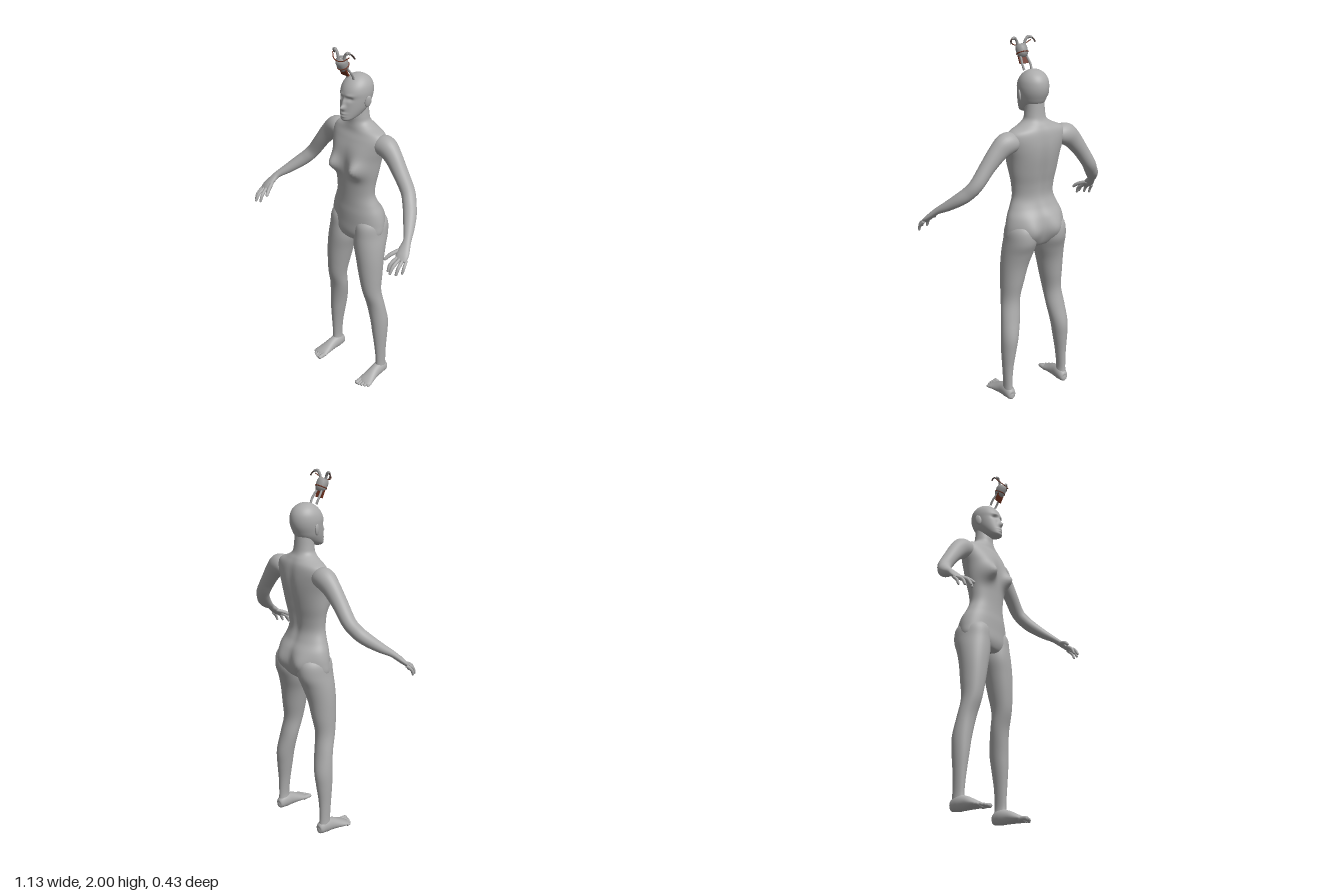
import * as THREE from 'three';

const flat = (color) => new THREE.MeshStandardMaterial({ color });

// Catmull-Rom sampling of a whole table row
function sampleRows(rows, steps) {
  const out = [];
  const at = (i) => rows[Math.min(Math.max(i, 0), rows.length - 1)];
  for (let i = 0; i < rows.length - 1; i++) {
    for (let k = 0; k < steps; k++) {
      const t = k / steps;
      out.push(at(i).map((p1, c) => {
        const p0 = at(i - 1)[c], p2 = at(i + 1)[c], p3 = at(i + 2)[c];
        return 0.5 * (2 * p1 + (p2 - p0) * t + (2 * p0 - 5 * p1 + 4 * p2 - p3) * t * t
          + (3 * p1 - p0 - 3 * p2 + p3) * t * t * t);
      }));
    }
  }
  out.push(rows[rows.length - 1]);
  return out;
}

// Closed skin over elliptical rings [x, y, z, a, b].
// upright: rings lie flat (rows run upwards); otherwise rings stand across the path.
function loft(rows, { steps = 5, sides = 20, upright = false, shape = null } = {}) {
  const rings = sampleRows(rows, steps);
  const centres = rings.map((r) => new THREE.Vector3(r[0], r[1], r[2]));
  const up = new THREE.Vector3(0, 1, 0);
  const pos = [], idx = [];
  rings.forEach((r, i) => {
    let U = new THREE.Vector3(1, 0, 0), V = new THREE.Vector3(0, 0, 1);
    if (!upright) {
      const t = centres[Math.min(i + 1, rings.length - 1)].clone()
        .sub(centres[Math.max(i - 1, 0)]).normalize();
      U = t.clone().cross(up).normalize();
      V = U.clone().cross(t);
    }
    for (let j = 0; j < sides; j++) {
      const q = (j / sides) * Math.PI * 2;
      const p = centres[i].clone().addScaledVector(U, Math.cos(q) * r[3])
        .addScaledVector(V, Math.sin(q) * r[4]);
      if (shape) shape(p, Math.sin(q));
      pos.push(p.x, p.y, p.z);
    }
  });
  for (let i = 0; i < rings.length - 1; i++) {
    for (let j = 0; j < sides; j++) {
      const k = (j + 1) % sides;
      const a = i * sides + j, b = i * sides + k, c = a + sides, d = b + sides;
      idx.push(a, c, b, b, c, d);
    }
  }
  const first = pos.length / 3, last = first + 1, top = (rings.length - 1) * sides;
  pos.push(...centres[0].toArray(), ...centres[centres.length - 1].toArray());
  for (let j = 0; j < sides; j++) {
    const k = (j + 1) % sides;
    idx.push(first, j, k, last, top + k, top + j);
  }
  const g = new THREE.BufferGeometry();
  g.setAttribute('position', new THREE.Float32BufferAttribute(pos, 3));
  g.setIndex(idx);
  g.computeVertexNormals();
  return g;
}

// Upright row from [y, halfWidth, zFront, zBack]
const slab = ([y, w, f, b]) => [0, y, (f + b) / 2, w, (f - b) / 2];
// Upright row from [y, xOuter, xInner, zFront, zBack]
const legRow = (s) => ([y, o, n, f, b]) => [s * (o + n) / 2, y, (f + b) / 2, (o - n) / 2, (f - b) / 2];
const bump = (p, x, y, sx, sy) =>
  Math.exp(-(((Math.abs(p.x) - x) / sx) ** 2) - ((p.y - y) / sy) ** 2);

export function createModel() {
  const model = new THREE.Group();
  const skin = flat(0xacacac), metal = flat(0x9a9a9a), rust = flat(0x6b2f1c), dark = flat(0x3a2c28);
  const add = (name, geo, mat, parent = model) => {
    const m = new THREE.Mesh(geo, mat);
    m.name = name;
    parent.add(m);
    return m;
  };

  // Torso and neck, with chest, seat and spine modelled into the skin
  const torso = [
    [0.905, 0.06, -0.03, -0.13], [0.92, 0.12, -0.01, -0.16], [0.96, 0.172, 0.003, -0.18],
    [1.02, 0.174, 0.003, -0.193], [1.08, 0.162, 0.003, -0.188], [1.13, 0.14, 0, -0.165],
    [1.185, 0.121, 0, -0.15], [1.25, 0.125, 0.003, -0.155], [1.32, 0.138, 0.008, -0.17],
    [1.4, 0.15, 0.01, -0.185], [1.46, 0.165, 0.003, -0.19], [1.51, 0.175, -0.014, -0.187],
    [1.545, 0.158, -0.03, -0.18], [1.572, 0.1, -0.036, -0.167], [1.597, 0.064, -0.04, -0.152],
    [1.63, 0.055, -0.042, -0.145], [1.69, 0.05, -0.05, -0.14],
  ];
  add('torso', loft(torso.map(slab), {
    sides: 72, steps: 6, upright: true,
    shape: (p, s) => {
      const front = Math.max(0, s) ** 0.5, back = Math.max(0, -s) ** 0.5;
      p.z += front * 0.058 * bump(p, 0.083, 1.355, 0.042, 0.047);
      p.z += front * 0.012 * bump(p, 0.085, 1.42, 0.06, 0.06);
      p.z -= back * 0.034 * bump(p, 0.08, 1.005, 0.06, 0.075);
      p.z += back * 0.012 * bump(p, 0, 1.32, 0.025, 0.2);
    },
  }), skin);

  // Head with brow, nose, lips and eye hollows
  const head = [
    [1.62, 0.016, 0.02, -0.02], [1.63, 0.034, 0.028, -0.05], [1.65, 0.05, 0.026, -0.1],
    [1.68, 0.064, 0.022, -0.138], [1.71, 0.072, 0.018, -0.155], [1.74, 0.077, 0.014, -0.166],
    [1.77, 0.078, 0.013, -0.169], [1.8, 0.072, 0, -0.163], [1.825, 0.057, -0.022, -0.146],
    [1.843, 0.034, -0.05, -0.118], [1.85, 0.008, -0.075, -0.09],
  ];
  add('head', loft(head.map(slab), {
    sides: 96, steps: 8, upright: true,
    shape: (p, s) => {
      if (s <= 0) return;
      p.z += s * (0.022 * bump(p, 0, 1.693, 0.012, 0.013) + 0.011 * bump(p, 0, 1.72, 0.009, 0.02)
        + 0.007 * bump(p, 0, 1.662, 0.02, 0.006) + 0.006 * bump(p, 0, 1.648, 0.018, 0.006)
        + 0.005 * bump(p, 0.03, 1.758, 0.022, 0.008) - 0.01 * bump(p, 0.03, 1.738, 0.016, 0.01));
    },
  }), skin);

  const legTable = [
    [0.015, 0.2, 0.158, -0.085, -0.135], [0.05, 0.206, 0.155, -0.07, -0.143],
    [0.1, 0.205, 0.16, -0.072, -0.139], [0.2, 0.209, 0.15, -0.065, -0.141],
    [0.3, 0.214, 0.133, -0.056, -0.151], [0.39, 0.214, 0.117, -0.05, -0.156],
    [0.5, 0.203, 0.095, -0.038, -0.136], [0.6, 0.19, 0.084, -0.01, -0.122],
    [0.7, 0.19, 0.062, 0.002, -0.136], [0.8, 0.19, 0.038, 0.007, -0.152],
    [0.88, 0.186, 0.014, 0.008, -0.176], [0.95, 0.178, 0.008, 0.004, -0.203],
    [1.02, 0.168, 0.012, -0.004, -0.2], [1.07, 0.13, 0.04, -0.04, -0.16],
  ];
  const arm = [
    [0.11, 1.49, -0.105, 0.03, 0.03], [0.14, 1.493, -0.107, 0.052, 0.05], [0.185, 1.49, -0.11, 0.054, 0.059],
    [0.235, 1.45, -0.108, 0.045, 0.05], [0.29, 1.385, -0.103, 0.041, 0.041], [0.35, 1.303, -0.097, 0.038, 0.037],
    [0.385, 1.256, -0.073, 0.036, 0.036], [0.42, 1.219, -0.04, 0.035, 0.034], [0.465, 1.174, 0.015, 0.028, 0.026],
    [0.497, 1.143, 0.06, 0.021, 0.018], [0.51, 1.116, 0.092, 0.028, 0.016],
    [0.521, 1.089, 0.122, 0.034, 0.014], [0.528, 1.068, 0.143, 0.028, 0.009],
  ];
  const foot = [
    [0.18, 0.03, -0.152, 0.006, 0.01], [0.18, 0.031, -0.142, 0.024, 0.027], [0.18, 0.043, -0.105, 0.032, 0.042],
    [0.182, 0.037, -0.055, 0.033, 0.036], [0.186, 0.025, -0.005, 0.04, 0.024], [0.189, 0.017, 0.03, 0.044, 0.015],
    [0.189, 0.013, 0.047, 0.036, 0.009],
  ];
  // Fingers: knuckle, middle joint, tip, radius
  const fingers = [
    [[0.497, 1.108, 0.1], [0.471, 1.088, 0.15], [0.457, 1.066, 0.178], 0.0105],
    [[0.505, 1.08, 0.142], [0.496, 1.052, 0.18], [0.495, 1.02, 0.195], 0.009],
    [[0.521, 1.077, 0.14], [0.52, 1.052, 0.186], [0.519, 1.02, 0.207], 0.009],
    [[0.536, 1.074, 0.133], [0.543, 1.048, 0.172], [0.543, 1.016, 0.188], 0.009],
    [[0.549, 1.073, 0.121], [0.559, 1.046, 0.149], [0.559, 1.018, 0.16], 0.008],
  ];

  for (const s of [1, -1]) {
    const side = s > 0 ? 'left' : 'right';
    const flip = (rows) => rows.map(([x, ...rest]) => [s * x, ...rest]);
    add(side + 'Leg', loft(legTable.map(legRow(s)), { sides: 36, upright: true }), skin);
    add(side + 'Foot', loft(flip(foot), { sides: 28 }), skin);
    add(side + 'Arm', loft(flip(arm), { sides: 30 }), skin);
    for (const [k, m, t, r] of fingers) {
      const e = t.map((v, i) => v + (t[i] - m[i]) * 0.15);
      add(side + 'Finger', loft(flip([[...k, r, r], [...m, r, r], [...t, r * 0.75, r * 0.75],
        [...e, r * 0.15, r * 0.15]]), { sides: 12, steps: 4 }), skin);
    }
    // Toes, big one on the inside
    for (let i = 0; i < 5; i++) {
      const x = 0.16 + i * 0.0165, r = i ? 0.009 : 0.0135, end = 0.079 - i * i * 0.0018;
      add(side + 'Toe', loft(flip([[x, 0.015, 0.025, r, r], [x, 0.015, end - 0.02, r, r * 0.85],
        [x, 0.012, end - 0.004, r * 0.85, r * 0.8], [x, 0.011, end, r * 0.2, r * 0.2]]),
      { sides: 12, steps: 4 }), skin);
    }
    // Ear
    const ear = add(side + 'Ear', new THREE.SphereGeometry(1, 20, 14), skin);
    ear.scale.set(0.008, 0.031, 0.018);
    ear.position.set(s * 0.081, 1.722, -0.075);
    ear.rotation.set(-0.2, s * -0.4, s * -0.15);
  }

  // Small ornament standing on the crown
  const ornament = new THREE.Group();
  ornament.name = 'headOrnament';
  model.add(ornament);
  const tube = (name, pts, r, mat) => add(name, new THREE.TubeGeometry(
    new THREE.CatmullRomCurve3(pts.map((p) => new THREE.Vector3(...p))), 20, r, 8), mat, ornament);
  const cup = add('ornamentCup', new THREE.LatheGeometry([[0.001, -0.036], [0.022, -0.034], [0.03, -0.015],
    [0.031, 0.012], [0.026, 0.03], [0.001, 0.034]].map((p) => new THREE.Vector2(...p)), 20), metal, ornament);
  cup.position.set(0, 1.927, 0.027);
  cup.rotation.x = 0.45;
  const rim = add('ornamentRim', new THREE.TorusGeometry(0.03, 0.003, 8, 24), rust, ornament);
  rim.position.set(0, 1.915, 0.021);
  rim.rotation.x = Math.PI / 2 + 0.45;
  const plate = add('ornamentPlate', new THREE.BoxGeometry(0.05, 0.045, 0.008), rust, ornament);
  plate.position.set(0, 1.883, 0.016);
  plate.rotation.x = 0.45;
  tube('ornamentBand', [[-0.06, 1.975, 0.035], [-0.035, 1.955, 0.053], [0, 1.948, 0.06],
    [0.035, 1.955, 0.053], [0.06, 1.975, 0.035]], 0.0025, rust);
  for (const s of [1, -1]) {
    tube('ornamentLeg', [[s * 0.022, 1.835, -0.03], [s * 0.024, 1.86, -0.018], [s * 0.018, 1.9, 0.01]], 0.006, metal);
    tube('ornamentHorn', [[s * 0.018, 1.945, 0.035], [s * 0.026, 1.975, 0.035], [s * 0.042, 1.992, 0.032],
      [s * 0.06, 1.988, 0.028]], 0.007, metal);
    tube('ornamentHornTip', [[s * 0.058, 1.989, 0.028], [s * 0.068, 1.98, 0.022], [s * 0.072, 1.965, 0.012]], 0.004, dark);
    const knob = add('ornamentKnob', new THREE.SphereGeometry(0.009, 14, 10), metal, ornament);
    knob.position.set(s * 0.042, 1.99, 0.035);
  }
  return model;
}
